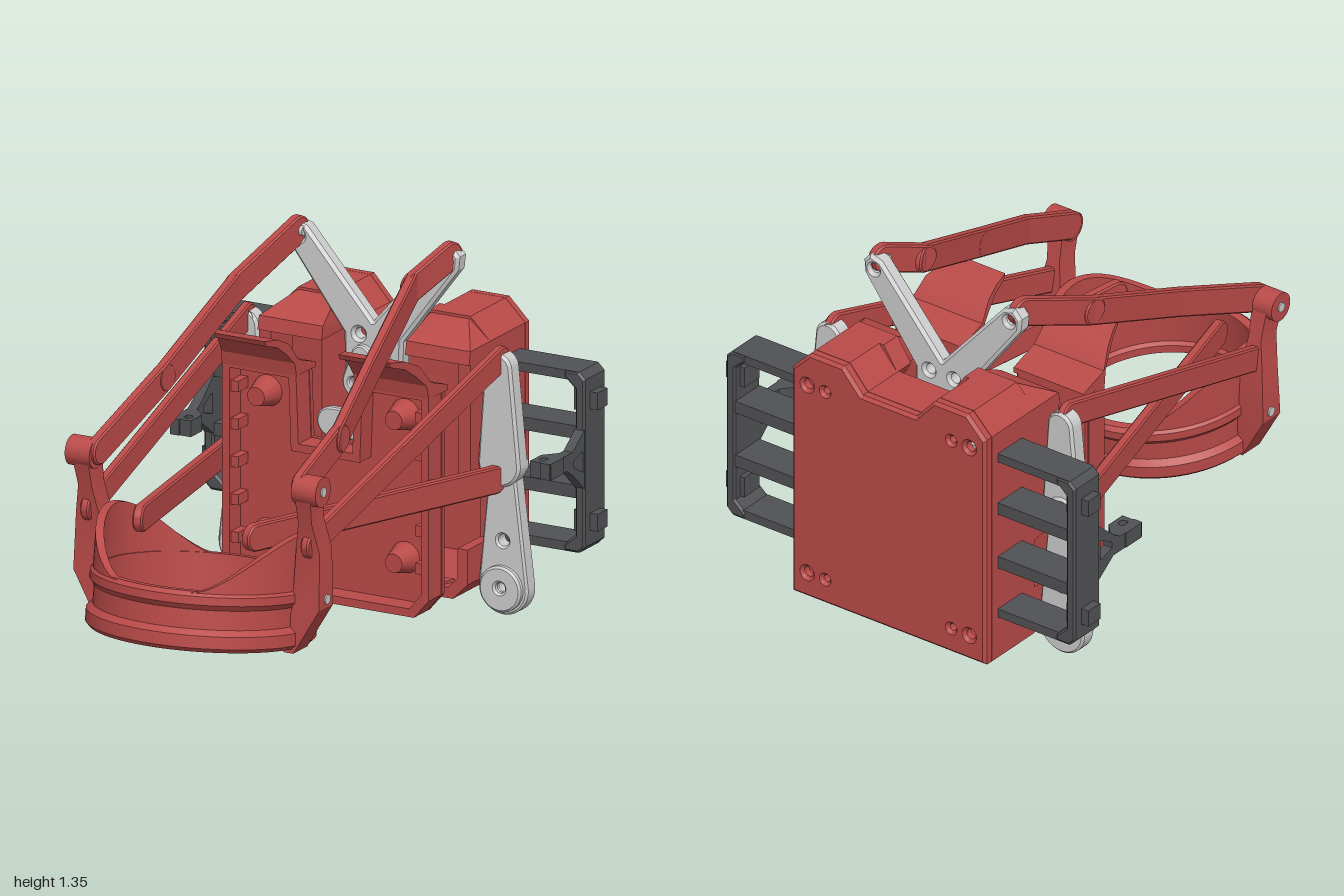
import * as THREE from 'three';
import { toCreasedNormals } from 'three/addons/utils/BufferGeometryUtils.js';

const red = new THREE.MeshStandardMaterial({ color: 0xb94a48, side: THREE.DoubleSide });
const grey = new THREE.MeshStandardMaterial({ color: 0xcccccc });
const dark = new THREE.MeshStandardMaterial({ color: 0x505154 });

const crease = (geo) => toCreasedNormals(geo, 0.5);
const poly = (pts) => new THREE.Shape(pts.map(([x, y]) => new THREE.Vector2(x, y)));
const circle = (x, y, r) => new THREE.Path().absarc(x, y, r, 0, Math.PI * 2, true);
// Mirrors a half outline (x > 0) to the other side
const symmetric = (pts) => [...pts, ...pts.map(([x, y]) => [-x, y]).reverse()];

// Box from its six limits
function box(x0, x1, y0, y1, z0, z1) {
  return new THREE.BoxGeometry(x1 - x0, y1 - y0, z1 - z0)
    .translate((x0 + x1) / 2, (y0 + y1) / 2, (z0 + z1) / 2);
}

// Front outline (x, y) between two depths, with an optional small bevel
function plate(shape, z0, z1, bevel = 0) {
  const geo = new THREE.ExtrudeGeometry(shape, {
    depth: z1 - z0 - 2 * bevel, curveSegments: 16, bevelEnabled: bevel > 0,
    bevelThickness: bevel, bevelSize: bevel, bevelOffset: -bevel, bevelSegments: 1,
  });
  return crease(geo.translate(0, 0, z0 + bevel));
}

// Side outline (z, y) between two x positions
function sidePlate(shape, x0, x1) {
  const geo = new THREE.ExtrudeGeometry(shape, { depth: x1 - x0, bevelEnabled: false, curveSegments: 12 });
  return crease(geo.rotateY(-Math.PI / 2).translate(x1, 0, 0));
}

// Outline wrapped around two circles
function capsule([x1, y1, r1], [x2, y2, r2]) {
  const a = Math.atan2(y2 - y1, x2 - x1);
  const d = Math.acos((r1 - r2) / Math.hypot(x2 - x1, y2 - y1));
  const shape = new THREE.Shape();
  shape.absarc(x1, y1, r1, a + d, a + 2 * Math.PI - d, false);
  shape.absarc(x2, y2, r2, a - d, a + d, false);
  return shape;
}

// Flat bar with rounded ends running between two points
function link(a, b, height, thick) {
  const A = new THREE.Vector3(...a), B = new THREE.Vector3(...b);
  const dir = B.clone().sub(A), len = dir.length();
  dir.normalize();
  const n = dir.clone().cross(new THREE.Vector3(0, 1, 0)).normalize();
  const v = n.clone().cross(dir);
  const m = new THREE.Matrix4().makeBasis(dir, v, n).setPosition(A);
  const shape = capsule([0, 0, height / 2], [len, 0, height / 2]);
  return plate(shape, -thick / 2, thick / 2, 0.006).applyMatrix4(m);
}

// Rectangular sections [y, x0, x1, z0, z1] joined from the bottom up
function loft(sections) {
  const pos = [], idx = [];
  for (const [y, x0, x1, z0, z1] of sections) pos.push(x0, y, z1, x1, y, z1, x1, y, z0, x0, y, z0);
  for (let s = 0; s < sections.length - 1; s++) {
    for (let i = 0; i < 4; i++) {
      const a = s * 4 + i, b = s * 4 + (i + 1) % 4;
      idx.push(a, b, b + 4, a, b + 4, a + 4);
    }
  }
  const t = (sections.length - 1) * 4;
  idx.push(0, 2, 1, 0, 3, 2, t, t + 1, t + 2, t, t + 2, t + 3);
  const geo = new THREE.BufferGeometry();
  geo.setAttribute('position', new THREE.Float32BufferAttribute(pos, 3));
  geo.setIndex(idx);
  return crease(geo);
}

// Copy of a geometry reflected in x, with its winding restored
function reflect(geo) {
  const out = (geo.index ? geo.toNonIndexed() : geo.clone()).scale(-1, 1, 1);
  for (const name of ['position', 'normal']) {
    const arr = out.attributes[name].array;
    for (let i = 0; i < arr.length; i += 9) {
      for (let k = 0; k < 3; k++) [arr[i + k], arr[i + 6 + k]] = [arr[i + 6 + k], arr[i + k]];
    }
  }
  return out;
}

export function createModel() {
  const model = new THREE.Group();
  const add = (name, geo, mat, parent = model) => {
    const mesh = new THREE.Mesh(geo, mat);
    mesh.name = name;
    parent.add(mesh);
  };
  const pair = (name, geo, mat) => {
    add(name + 'Left', geo, mat);
    add(name + 'Right', reflect(geo), mat);
  };

  // Rear housing: back wall, hollow shell, stepped sides, shoulders and trough
  const outline = symmetric([[0.43, 0.06], [0.43, 0.98], [0.35, 1.06], [0.2, 1.06], [0.12, 0.97]]);
  const back = poly(outline);
  for (const s of [-1, 1]) for (const y of [0.16, 0.93]) {
    back.holes.push(circle(s * 0.36, y, 0.02), circle(s * 0.28, y, 0.014));
  }
  add('housingBack', plate(back, -1, -0.95, 0.012), red);
  const shell = poly(outline);
  shell.holes.push(poly(symmetric([[0.39, 0.1], [0.39, 0.96], [0.33, 1.02], [0.22, 1.02], [0.14, 0.93]])));
  add('housingShell', plate(shell, -0.96, -0.78), red);
  const cheek = poly([[0.43, 0.06], [0.43, 0.98], [0.35, 1.06], [0.18, 1.06], [0.12, 0.97], [0.14, 0.93],
    [0.2, 1.02], [0.33, 1.02], [0.39, 0.96], [0.39, 0.06]]);
  pair('housingCheek', plate(cheek, -0.79, -0.71), red);
  pair('housingSide', sidePlate(poly([[-0.72, 0.44], [-0.57, 0.46], [-0.57, 0.98], [-0.72, 0.98]]), 0.38, 0.43), red);
  pair('housingShoulder', loft([[0.93, 0.17, 0.43, -0.72, -0.56], [0.98, 0.17, 0.43, -0.72, -0.57],
    [1.05, 0.19, 0.35, -0.73, -0.7]]), red);
  const trough = poly([[-0.43, 0.25], [-0.43, 0.12], [-0.37, 0.06], [0.37, 0.06], [0.43, 0.12], [0.43, 0.25],
    [0.39, 0.25], [0.39, 0.14], [0.35, 0.1], [-0.35, 0.1], [-0.39, 0.14], [-0.39, 0.25]]);
  add('housingTrough', plate(trough, -0.79, -0.55), red);
  const tab = poly([[0.2, 0.62], [0.34, 0.62], [0.31, 0.54], [0.28, 0.47], [0.21, 0.47]]);
  tab.holes.push(circle(0.245, 0.52, 0.018));
  const tabGeo = plate(tab, 0, 0.03).rotateX(-Math.PI / 2).translate(0, 0.08, 0);
  pair('mountingTab', tabGeo, red);

  // Front tray: face, forward rim, curled ears and screw bosses
  const trayPts = symmetric([[0.36, 0.06], [0.42, 0.13], [0.42, 0.9], [0.12, 0.9], [0.11, 0.63]]);
  const rim = poly(trayPts);
  rim.holes.push(poly(symmetric([[0.34, 0.09], [0.39, 0.15], [0.39, 0.87], [0.15, 0.87], [0.14, 0.6]])));
  add('trayFace', plate(poly(trayPts), -0.42, -0.37, 0.015), red);
  add('trayRim', plate(rim, -0.38, -0.29), red);
  const ear = poly([[-0.42, 0.88], [-0.29, 0.88], [-0.28, 0.93], [-0.24, 0.97], [-0.19, 1.01], [-0.13, 1.03],
    [-0.12, 1.05], [-0.19, 1.04], [-0.25, 1.01], [-0.3, 0.94], [-0.42, 0.9]]);
  const earGeo = sidePlate(ear, 0.115, 0.425);
  const e = earGeo.attributes.position;
  for (let i = 0; i < e.count; i++) {
    const t = Math.max(0, e.getZ(i) + 0.3) / 0.18;
    e.setX(i, e.getX(i) + (e.getX(i) > 0.27 ? -0.07 : 0.035) * t);
  }
  pair('trayEar', earGeo, red);
  for (const y of [0.25, 0.78]) {
    const boss = new THREE.CylinderGeometry(0.035, 0.06, 0.09, 20).rotateX(Math.PI / 2).translate(0.28, y, -0.33);
    pair('screwBoss', crease(boss), red);
  }
  for (let i = 0; i < 5; i++) {
    pair('trayClip', box(0.36, 0.4, 0.22 + i * 0.14, 0.26 + i * 0.14, -0.37, -0.3), red);
  }

  // Tilted collar with a wall that rises toward both sides
  const collar = new THREE.Group();
  collar.name = 'collar';
  collar.position.set(0, 0.2, 0.6);
  collar.rotation.x = -0.137;
  model.add(collar);
  const turn = (pts) => new THREE.LatheGeometry(pts.map(([x, y]) => new THREE.Vector2(x, y)), 72);
  add('collarRing', crease(turn([[0.345, 0], [0.395, 0], [0.41, 0.015], [0.41, 0.06], [0.388, 0.08], [0.388, 0.15],
    [0.405, 0.17], [0.405, 0.2], [0.39, 0.215], [0.36, 0.215], [0.36, 0.04], [0.345, 0.03], [0.345, 0]])), red, collar);
  const wall = turn([[0.365, 0.2], [0.395, 0.2], [0.395, 0.4], [0.365, 0.4], [0.365, 0.2]]);
  const p = wall.attributes.position;
  for (let i = 0; i < p.count; i++) {
    if (p.getY(i) < 0.3) continue;
    const side = Math.abs(p.getX(i)) / Math.hypot(p.getX(i), p.getZ(i));
    p.setY(i, 0.21 + 0.2 * Math.max(0, (side - 0.4) / 0.6) ** 1.6);
  }
  add('collarWall', crease(wall), red, collar);

  // Uprights on the collar with their pivot barrels
  pair('collarUpright', loft([[0.19, 0.36, 0.4, 0.54, 0.64], [0.36, 0.39, 0.5, 0.53, 0.63], [0.57, 0.4, 0.495, 0.53, 0.62],
    [0.68, 0.42, 0.475, 0.55, 0.64], [0.8, 0.42, 0.485, 0.57, 0.67]]), red);
  const barrel = new THREE.CylinderGeometry(0.055, 0.055, 0.1, 24).rotateZ(Math.PI / 2).translate(0.46, 0.8, 0.62);
  pair('pivotBarrel', crease(barrel), red);
  const pin = new THREE.CylinderGeometry(0.018, 0.018, 0.03, 16).rotateZ(Math.PI / 2);
  pair('pivotPin', crease(pin.clone().translate(0.5, 0.8, 0.62)), grey);
  pair('uprightPin', crease(pin.clone().translate(0.49, 0.39, 0.575)), grey);

  // Upper links: the same bent bar, bowed to the same hand on both sides
  const bends = {
    upperLinkLeft: [[0.31, -0.63], [0.265, -0.45], [0.35, 0], [0.42, 0.35], [0.42, 0.61]],
    upperLinkRight: [[-0.31, -0.63], [-0.37, -0.3], [-0.378, 0.2], [-0.41, 0.61]],
  };
  for (const [name, pts] of Object.entries(bends)) {
    const at = ([x, z]) => [x, 1.3 - 0.49 * (z + 0.63) / 1.24, z];
    for (let i = 1; i < pts.length; i++) add(name, link(at(pts[i - 1]), at(pts[i]), 0.105, 0.038), red);
  }
  pair('upperLinkPin', crease(pin.clone().translate(0.295, 1.3, -0.63)), grey);

  // Straight middle and lower links
  pair('middleLink', link([0.515, 0.95, -0.63], [0.45, 0.59, 0.6], 0.095, 0.034), red);
  pair('lowerLink', link([0.51, 0.51, -0.6], [0.23, 0.59, 0.62], 0.1, 0.038), red);

  // Central rocker: forked plate, two raised horns, hub and cross bar
  const fork = poly(symmetric([[0.08, 0.67], [0.115, 0.74], [0.12, 0.95], [0.345, 1.25], [0.35, 1.3], [0.32, 1.335],
    [0.27, 1.32], [0.001, 1.01]]));
  for (const s of [-1, 1]) fork.holes.push(circle(s * 0.055, 0.955, 0.02), circle(s * 0.3, 1.28, 0.018));
  add('forkPlate', plate(fork, -0.69, -0.625, 0.012), grey);
  const horn = capsule([0.05, 0.78, 0.06], [0.035, 0.88, 0.04]);
  horn.holes.push(circle(0.065, 0.78, 0.018));
  pair('forkHorn', plate(horn, -0.63, -0.6, 0.006), grey);
  const hub = new THREE.CylinderGeometry(0.1, 0.1, 0.06, 32).rotateX(Math.PI / 2).translate(0, 0.78, -0.66);
  add('forkHub', crease(hub), grey);
  add('forkCrossBar', plate(capsule([-0.155, 0.62, 0.055], [0.155, 0.62, 0.055]), -0.625, -0.595, 0.006), grey);

  // Side rockers: upper and lower arms with an end disc
  const upper = capsule([0.515, 0.92, 0.055], [0.52, 0.565, 0.085]);
  upper.holes.push(circle(0.505, 0.95, 0.018));
  pair('rockerUpper', plate(upper, -0.68, -0.61, 0.01), grey);
  const lower = capsule([0.53, 0.105, 0.1], [0.525, 0.56, 0.05]);
  lower.holes.push(circle(0.53, 0.11, 0.02), circle(0.53, 0.28, 0.022));
  pair('rockerLower', plate(lower, -0.69, -0.625, 0.008), grey);
  const disc = new THREE.Shape().absarc(0.53, 0.105, 0.085, 0, Math.PI * 2, false);
  disc.holes.push(circle(0.53, 0.11, 0.02));
  pair('rockerDisc', plate(disc, -0.63, -0.6, 0.008), grey);
  const elbow = capsule([0.53, 0.565, 0.07], [0.56, 0.56, 0.045]);
  pair('rockerElbow', plate(elbow, -0.69, -0.61, 0.01), grey);

  // Ladder brackets, one turned upside down for the other side
  for (const side of [1, -1]) {
    const bracket = new THREE.Group();
    bracket.name = side > 0 ? 'bracketLeft' : 'bracketRight';
    bracket.position.y = 0.56;
    bracket.rotation.z = side > 0 ? 0 : Math.PI;
    model.add(bracket);
    const post = poly([[0.69, -0.31], [0.69, -0.335], [0.75, -0.335], [0.775, -0.31], [0.775, 0.31], [0.75, 0.335],
      [0.69, 0.335], [0.69, 0.31], [0.735, 0.27], [0.735, -0.27]]);
    add('bracketPost', plate(post, -0.93, -0.78, 0.008), dark, bracket);
    for (const [y, h] of [[-0.318, 0.017], [-0.11, 0.024], [0.11, 0.024], [0.318, 0.017]]) {
      add('bracketRung', box(0.42, 0.745, y - h, y + h, -0.925, -0.785), dark, bracket);
    }
    for (const y of [-0.225, 0.225]) {
      add('bracketLug', box(0.77, 0.805, y - 0.032, y + 0.032, -0.89, -0.82), dark, bracket);
      add('bracketPad', box(0.715, 0.74, y - 0.04, y + 0.04, -0.9, -0.81), dark, bracket);
    }
    const gusset = poly([[-0.79, -0.1], [-0.79, 0.13], [-0.7, 0.065], [-0.535, 0.065], [-0.535, 0.005], [-0.66, 0.005], [-0.7, -0.02]]);
    gusset.holes.push(poly([[-0.775, -0.03], [-0.71, 0.005], [-0.71, 0.03], [-0.775, 0.05]]));
    add('bracketGusset', sidePlate(gusset, 0.735, 0.772), dark, bracket);
    const flag = poly([[0.69, 0.54], [0.775, 0.54], [0.775, 0.63], [0.735, 0.67], [0.69, 0.62]]);
    flag.holes.push(circle(0.725, 0.58, 0.018));
    add('bracketFlag', plate(flag, 0, 0.06).rotateX(-Math.PI / 2).translate(0, 0.005, 0), dark, bracket);
  }
  return model;
}
